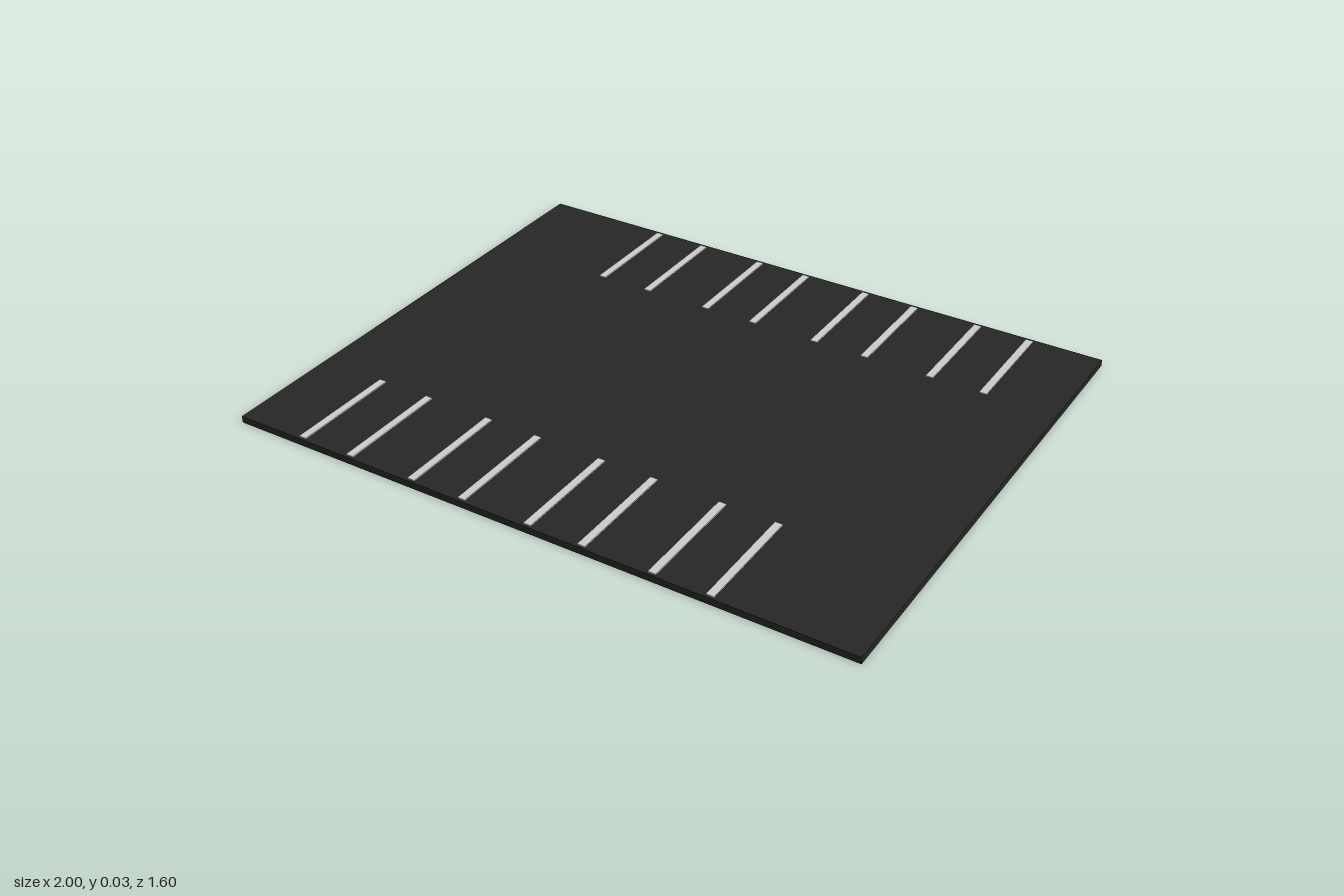
import * as THREE from 'three';

const SLAB_HEIGHT = 0.021;
const LINE_TOP = 0.025;

export function createModel() {
  const model = new THREE.Group();
  model.name = 'parkingLot';

  const asphalt = new THREE.MeshStandardMaterial({ color: 0x262626 });
  const paint = new THREE.MeshStandardMaterial({ color: 0xcccccc });

  // Asphalt slab
  const slab = new THREE.Mesh(new THREE.BoxGeometry(2, SLAB_HEIGHT, 1.6), asphalt);
  slab.name = 'asphaltSlab';
  slab.position.y = SLAB_HEIGHT / 2;
  model.add(slab);

  // Raised bay lines, slightly sunk into the slab
  const thickness = 0.008;
  const lineGeometry = new THREE.BoxGeometry(0.024, thickness, 0.355);

  // A row of four bays, each marked by a pair of lines
  function addRow(name, startX, z) {
    const row = new THREE.Group();
    row.name = name;
    for (let bay = 0; bay < 4; bay++) {
      for (let side = 0; side < 2; side++) {
        const line = new THREE.Mesh(lineGeometry, paint);
        line.name = 'bayLine';
        line.position.set(startX + bay * 0.391 + side * 0.173, LINE_TOP - thickness / 2, z);
        row.add(line);
      }
    }
    model.add(row);
  }

  addRow('frontBayLines', -0.775, 0.616);
  addRow('backBayLines', -0.576, -0.611);

  return model;
}
